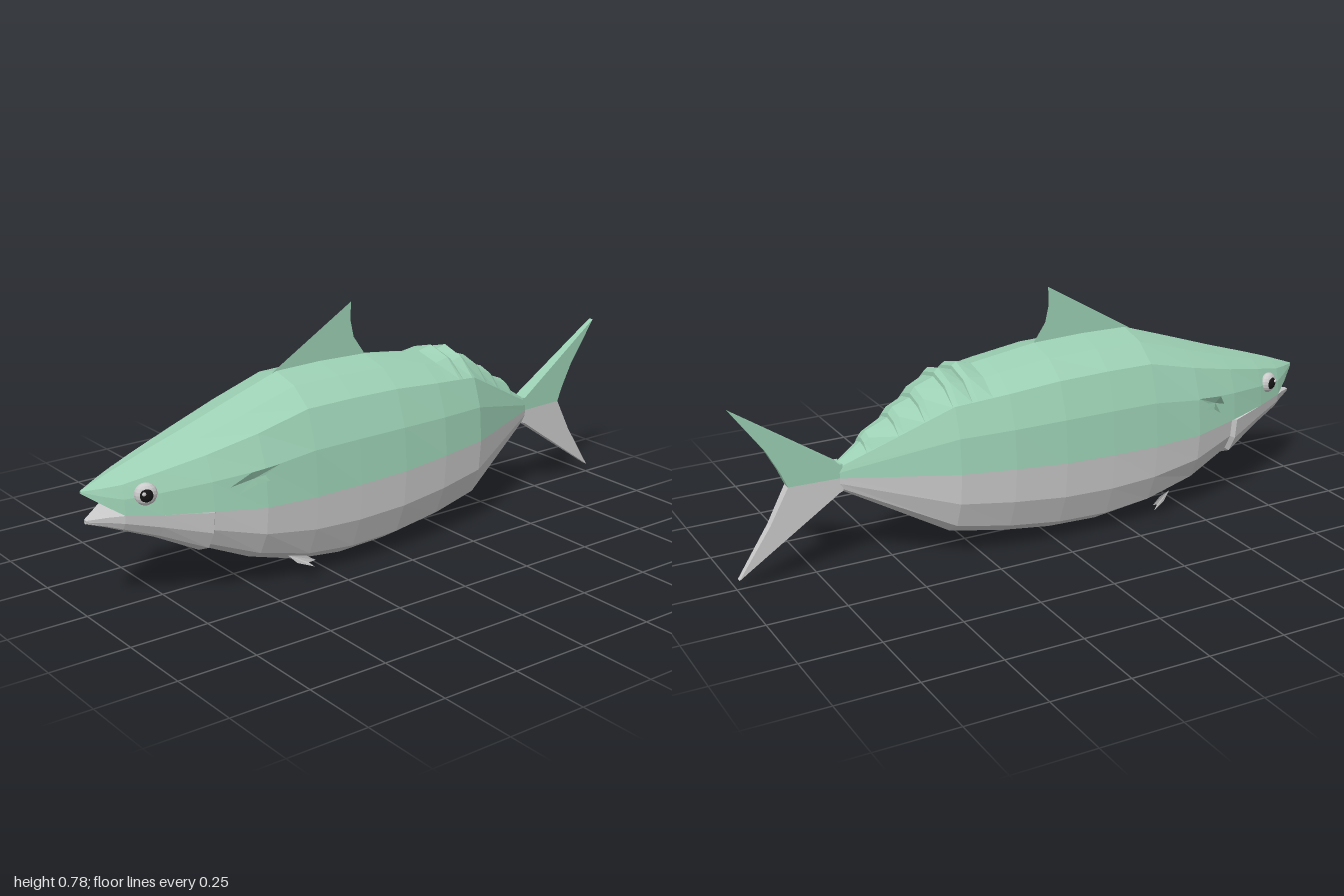
import * as THREE from 'three';

const GREEN = 0x9bcfb3, GREY = 0xcccccc;
const paint = (color) => new THREE.MeshStandardMaterial({ color, flatShading: true, side: THREE.DoubleSide });

function add(parent, name, geometry, color) {
  const mesh = new THREE.Mesh(geometry, paint(color));
  mesh.name = name;
  parent.add(mesh);
  return mesh;
}

// half cross-section, as fractions of half width and height
const ARC_Z = [1, 0.95, 0.77, 0.44, 0, -0.44, -0.77, -0.95, -1];
const ARC_Y = [0, 0.42, 0.77, 0.93, 1, 0.93, 0.77, 0.42, 0];

// stations: [x, colour line y, outer y, half width]
const BACK = [
  [-1, 0.38, 0.388, 0.004], [-0.95, 0.345, 0.407, 0.042], [-0.9, 0.312, 0.426, 0.074],
  [-0.8, 0.303, 0.46, 0.115], [-0.66, 0.295, 0.505, 0.163], [-0.5, 0.28, 0.56, 0.198],
  [-0.33, 0.278, 0.617, 0.21], [-0.17, 0.282, 0.62, 0.215], [0, 0.288, 0.615, 0.217],
  [0.17, 0.298, 0.592, 0.205], [0.34, 0.303, 0.567, 0.175], [0.67, 0.303, 0.345, 0.025],
];
const BELLY = [
  [-0.99, 0.297, 0.285, 0.006], [-0.94, 0.306, 0.268, 0.042], [-0.9, 0.312, 0.252, 0.074],
  [-0.8, 0.303, 0.21, 0.115], [-0.665, 0.295, 0.138, 0.17], [-0.655, 0.295, 0.146, 0.156],
  [-0.5, 0.28, 0.075, 0.198], [-0.33, 0.278, 0.022, 0.21], [-0.17, 0.282, 0.003, 0.215],
  [0, 0.288, 0.01, 0.217], [0.17, 0.298, 0.032, 0.205], [0.34, 0.303, 0.065, 0.175],
  [0.67, 0.303, 0.26, 0.025],
];

const ring = ([x, mid, outer, half], side) =>
  ARC_Z.map((z, k) => [x, mid + (outer - mid) * ARC_Y[k], side * half * z]);

// skin stretched over rings; the first `closed` spans are shut along the flat side
function loft(rings, closed = 0) {
  const n = rings[0].length, index = [];
  for (let i = 0; i < rings.length - 1; i++) {
    for (let j = 0; j < (i < closed ? n : n - 1); j++) {
      const a = i * n + j, c = i * n + (j + 1) % n;
      index.push(a, a + n, c, a + n, c + n, c);
    }
  }
  const g = new THREE.BufferGeometry();
  g.setAttribute('position', new THREE.Float32BufferAttribute(rings.flat(2), 3));
  g.setIndex(index);
  g.computeVertexNormals();
  return g;
}

// station on the back at any x
function backAt(x) {
  const i = Math.max(1, BACK.findIndex((s) => s[0] >= x));
  const a = BACK[i - 1], b = BACK[i], t = (x - a[0]) / (b[0] - a[0]);
  return a.map((v, k) => v + (b[k] - v) * t);
}

const outline = (points) => new THREE.Shape(points.map(([x, y]) => new THREE.Vector2(x, y)));

// solid tail lobe that thins towards its tip
function tailLobe(points) {
  const g = new THREE.ExtrudeGeometry(outline(points), { depth: 0.048, bevelEnabled: false });
  g.translate(0, 0, -0.024);
  const p = g.attributes.position;
  for (let i = 0; i < p.count; i++) p.setZ(i, p.getZ(i) * (1 - 0.65 * (p.getX(i) - 0.66) / 0.33));
  g.computeVertexNormals();
  return g;
}

// thin fin fanned out from its first point
function fan(points) {
  const g = new THREE.BufferGeometry();
  g.setAttribute('position', new THREE.Float32BufferAttribute(points.flat(), 3));
  const index = [];
  for (let i = 1; i < points.length - 1; i++) index.push(0, i, i + 1);
  g.setIndex(index);
  g.computeVertexNormals();
  return g;
}

export function createModel() {
  const fish = new THREE.Group();
  fish.name = 'fish';

  // body with an open mouth
  add(fish, 'back', loft(BACK.map((s) => ring(s, 1)), 3), GREEN);
  add(fish, 'belly', loft(BELLY.map((s) => ring(s, -1)), 3), GREY);

  // dorsal fin
  const dorsal = outline([[-0.36, 0.6], [-0.34, 0.617], [-0.05, 0.788], [-0.052, 0.73],
    [-0.04, 0.675], [0, 0.617], [0, 0.6]]);
  add(fish, 'dorsalFin', new THREE.ShapeGeometry(dorsal), GREEN);

  // overlapping finlets stepping down to the tail
  for (const [x0, x1] of [[0.22, 0.285], [0.285, 0.345], [0.345, 0.425], [0.425, 0.5], [0.5, 0.59]]) {
    const rows = [[x0, 0], [x1 - 0.015, 0.02], [x1, 0.012], [x1 + 0.004, -0.012]].map(([x, lift]) =>
      ring(backAt(x), 1).slice(2, 7).map(([px, y, z], k) =>
        [px, y + lift * [0.1, 0.8, 1, 0.8, 0.1][k], z]));
    add(fish, 'finlet', loft(rows), GREEN);
  }

  // forked tail
  add(fish, 'upperTailLobe', tailLobe([[0.66, 0.303], [0.83, 0.303], [0.85, 0.35], [0.89, 0.425],
    [0.993, 0.567], [0.67, 0.347], [0.66, 0.347]]), GREEN);
  add(fish, 'lowerTailLobe', tailLobe([[0.66, 0.303], [0.66, 0.26], [0.67, 0.257], [0.993, 0.034],
    [0.89, 0.19], [0.83, 0.303]]), GREY);

  for (const side of [1, -1]) {
    const name = side > 0 ? 'left' : 'right';

    // eye with pupil and glint
    const eye = new THREE.Group();
    eye.name = name + 'Eye';
    eye.position.set(-0.842, 0.37, side * 0.09);
    eye.rotation.y = -side * 0.35;
    fish.add(eye);
    for (const [part, r, x, y, z, color] of [['eyeball', 0.034, 0, 0, 0, GREY],
      ['pupil', 0.021, 0, 0, 0.012, 0x151515], ['glint', 0.006, -0.008, 0.008, 0.024, 0xffffff]]) {
      const ball = add(eye, part, new THREE.SphereGeometry(r, 14, 10), color);
      ball.scale.z = 0.6;
      ball.position.set(x, y, side * z);
    }

    // pectoral and pelvic fins
    add(fish, name + 'PectoralFin', fan([[-0.55, 0.385, side * 0.205], [-0.61, 0.36, side * 0.17],
      [-0.565, 0.408, side * 0.214], [-0.475, 0.417, side * 0.224], [-0.52, 0.39, side * 0.212],
      [-0.505, 0.372, side * 0.218], [-0.545, 0.365, side * 0.208], [-0.59, 0.335, side * 0.18]]), GREEN);
    add(fish, name + 'PelvicFin', fan([[-0.41, 0.095, side * 0.165], [-0.36, 0.09, side * 0.185],
      [-0.33, 0.07, side * 0.193], [-0.35, 0.065, side * 0.186], [-0.335, 0.05, side * 0.194],
      [-0.385, 0.068, side * 0.175]]), GREY);
  }
  return fish;
}
